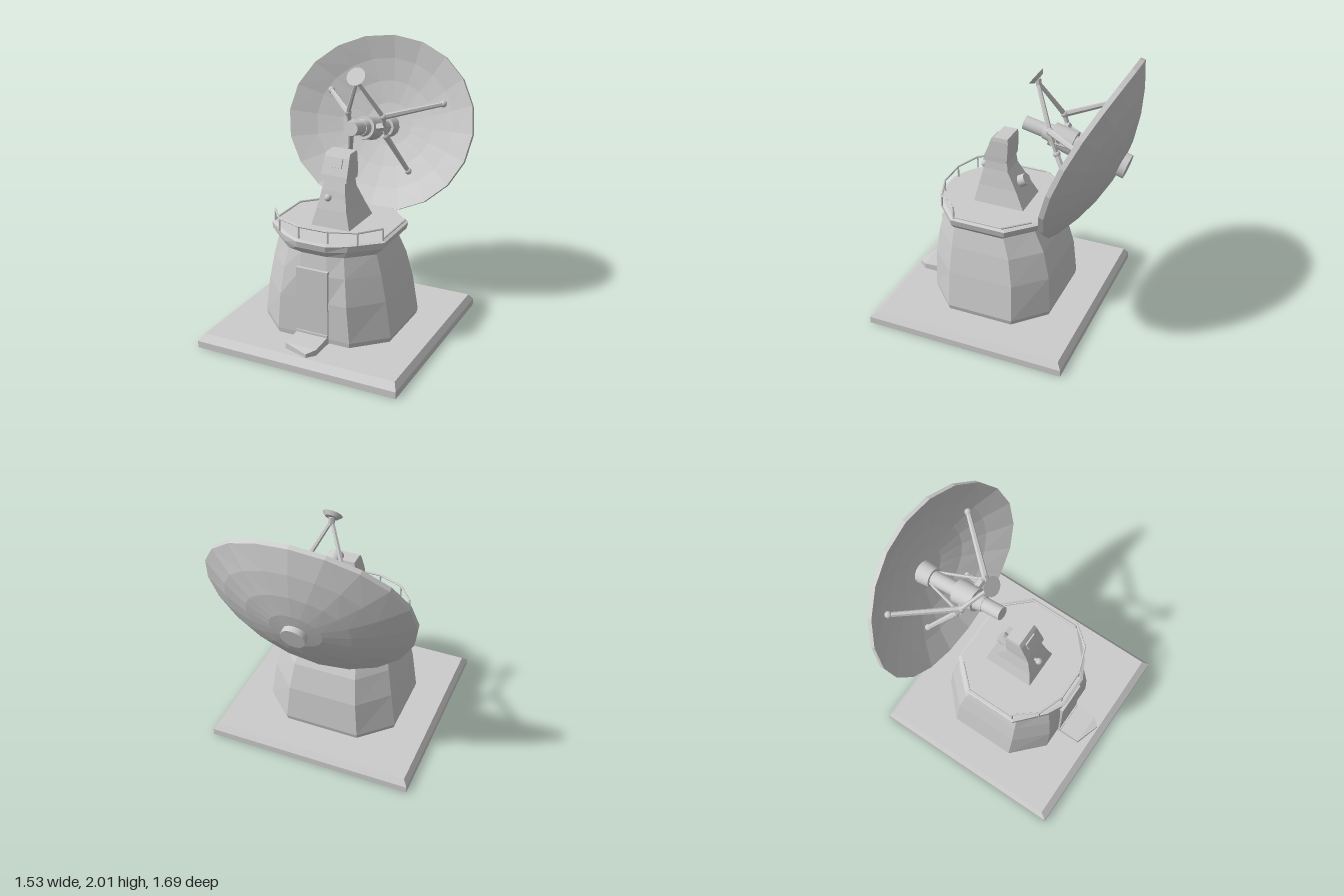
import * as THREE from 'three';

const grey = new THREE.MeshStandardMaterial({ color: 0xcccccc, side: THREE.DoubleSide });
const facet = new THREE.MeshStandardMaterial({ color: 0xcccccc, flatShading: true });
const V = (x, y, z) => new THREE.Vector3(x, y, z);

// Closed solid through rings of points, bottom to top, counter-clockwise from above
function loft(rings) {
  const pos = [];
  const tri = (...p) => p.forEach((v) => pos.push(v.x, v.y, v.z));
  const n = rings[0].length;
  for (let r = 0; r < rings.length - 1; r++) {
    for (let i = 0; i < n; i++) {
      const j = (i + 1) % n;
      tri(rings[r][i], rings[r][j], rings[r + 1][j]);
      tri(rings[r][i], rings[r + 1][j], rings[r + 1][i]);
    }
  }
  const bottom = rings[0], top = rings[rings.length - 1];
  for (let i = 1; i < n - 1; i++) {
    tri(bottom[0], bottom[i + 1], bottom[i]);
    tri(top[0], top[i], top[i + 1]);
  }
  const g = new THREE.BufferGeometry();
  g.setAttribute('position', new THREE.Float32BufferAttribute(pos, 3));
  g.computeVertexNormals();
  return g;
}

// Rectangular ring
const rect = ([y, hx, zb, zf]) => [V(-hx, y, zf), V(hx, y, zf), V(hx, y, zb), V(-hx, y, zb)];

// Eight-sided ring whose front may bow outwards
function octagon([y, hx, zb, zf, bow = 0]) {
  const f = zf - bow, cx = hx * 0.56, cz = (zf - zb) * 0.23;
  return [
    V(-hx * 0.25, y, zf), V(hx * 0.25, y, zf), V(cx, y, f), V(hx, y, f - cz + bow * 0.3),
    V(hx, y, zb + cz), V(cx, y, zb), V(-cx, y, zb), V(-hx, y, zb + cz),
    V(-hx, y, f - cz + bow * 0.3), V(-cx, y, f),
  ];
}

export function createModel() {
  const model = new THREE.Group();

  function add(name, geometry, material = facet) {
    const mesh = new THREE.Mesh(geometry, material);
    mesh.name = name;
    model.add(mesh);
    return mesh;
  }
  // Cylinder running from point a to point b
  function rod(name, a, b, ra, rb = ra, sides = 6) {
    const d = b.clone().sub(a);
    const mesh = add(name, new THREE.CylinderGeometry(rb, ra, d.length(), sides), sides > 8 ? grey : facet);
    mesh.position.copy(a).add(b).multiplyScalar(0.5);
    mesh.quaternion.setFromUnitVectors(V(0, 1, 0), d.normalize());
    return mesh;
  }
  function ball(name, p, r) {
    add(name, new THREE.SphereGeometry(r, 10, 8), grey).position.copy(p);
  }

  // Ground slab with bevelled top edge
  add('baseSlab', loft([
    [0, 0.765, -0.65, 0.84], [0.05, 0.765, -0.65, 0.84], [0.095, 0.735, -0.62, 0.79],
  ].map(rect)));

  // Tower and overhanging platform
  add('tower', loft([
    [0.09, 0.49, -0.37, 0.53], [0.13, 0.5, -0.38, 0.535], [0.4, 0.46, -0.36, 0.535],
    [0.6, 0.42, -0.31, 0.53, 0.02], [0.75, 0.38, -0.23, 0.51, 0.03],
  ].map(octagon)));
  add('platform', loft([
    [0.74, 0.38, -0.22, 0.51, 0.03], [0.79, 0.43, -0.275, 0.55, 0.06],
    [0.835, 0.44, -0.29, 0.56, 0.07], [0.845, 0.42, -0.27, 0.54, 0.07],
  ].map(octagon)));

  // Door with frame, and sloping doorstep
  add('door', new THREE.BoxGeometry(0.24, 0.5, 0.03)).position.set(0, 0.39, 0.535);
  add('doorSill', new THREE.BoxGeometry(0.24, 0.03, 0.04)).position.set(0, 0.15, 0.54);
  const step = (top) => [
    V(-0.12, top ? 0.138 : 0.08, 0.72), V(0.07, top ? 0.122 : 0.08, 0.78),
    V(0.12, top ? 0.138 : 0.08, 0.72), V(0.12, top ? 0.15 : 0.08, 0.52), V(-0.12, top ? 0.15 : 0.08, 0.52),
  ];
  add('doorstep', loft([step(false), step(true)]));

  // Guard rail at the front, low kerb rails along the sides
  const rail = [[-0.42, 0.3], [-0.3, 0.45], [-0.11, 0.52], [0.11, 0.52], [0.3, 0.45], [0.42, 0.3]];
  rail.forEach(([x, z], i) => {
    rod('railPost', V(x, 0.84, z), V(x, 0.93, z), 0.007);
    if (i) rod('railBar', V(rail[i - 1][0], 0.93, rail[i - 1][1]), V(x, 0.93, z), 0.008);
  });
  for (const s of [-1, 1]) {
    rod('sideRail', V(s * 0.42, 0.855, 0.3), V(s * 0.42, 0.855, -0.07), 0.008);
    rod('sideRail', V(s * 0.42, 0.855, -0.07), V(s * 0.27, 0.855, -0.23), 0.008);
  }

  // Pedestal and head
  add('pedestal', loft([
    [0.84, 0.15, -0.115, 0.27], [0.97, 0.115, -0.045, 0.245], [1.05, 0.1, 0, 0.225],
    [1.1, 0.09, 0.03, 0.215], [1.19, 0.08, 0.04, 0.19],
  ].map(rect)));
  add('pedestalHead', loft([
    [1.17, 0.1, 0.035, 0.215], [1.21, 0.1, 0.03, 0.205], [1.33, 0.095, 0.025, 0.155], [1.36, 0.09, 0.03, 0.135],
  ].map(rect)));
  const panel = add('headPanel', new THREE.BoxGeometry(0.1, 0.065, 0.02));
  panel.position.set(0, 1.295, 0.172);
  panel.rotation.x = -0.4;
  rod('driveMotor', V(0, 0.96, 0.03), V(0, 1.025, -0.08), 0.045, 0.045, 12);
  rod('lampStem', V(-0.02, 1.06, 0.21), V(-0.02, 1.065, 0.26), 0.012);
  ball('lamp', V(-0.02, 1.065, 0.258), 0.026);

  // Dish: unit profile out along the inside and back along the outside, bent into an elliptical bowl
  const steps = [0, 0.25, 0.5, 0.75, 1];
  const profile = [
    ...steps.map((t) => new THREE.Vector2(t, -0.005)),
    ...steps.map((t) => new THREE.Vector2(t, 0.03)).reverse(),
  ];
  const bowl = new THREE.LatheGeometry(profile, 20);
  const p = bowl.attributes.position;
  for (let i = 0; i < p.count; i++) {
    const u = p.getX(i), v = p.getZ(i);
    p.setXYZ(i, u * 0.745, p.getY(i) + 0.25 * u * u + 0.17 * v * v, v * 0.66);
  }
  bowl.computeVertexNormals();
  const dishMaterial = grey.clone();
  dishMaterial.flatShading = true;
  const dish = add('dish', bowl, dishMaterial);
  dish.position.set(0, 1.32, -0.776);
  dish.rotation.x = 1.24;

  // Rear hub and feed assembly along the dish axis
  rod('rearHub', V(0, 1.29, -0.815), V(0, 1.315, -0.73), 0.087, 0.087, 16);
  rod('feedFlange', V(0, 1.315, -0.74), V(0, 1.335, -0.64), 0.085, 0.075, 16);
  rod('feedNeck', V(0, 1.33, -0.66), V(0, 1.39, -0.42), 0.055, 0.055, 16);
  rod('feedBody', V(0, 1.385, -0.43), V(0, 1.43, -0.27), 0.09, 0.085, 16);
  rod('feedCollar', V(0, 1.43, -0.27), V(0, 1.442, -0.21), 0.065, 0.055, 16);
  rod('feedNose', V(0, 1.44, -0.22), V(0, 1.475, -0.065), 0.05, 0.05, 16);

  // Small reflector in front
  rod('subReflector', V(0, 1.822, -0.16), V(0, 1.837, -0.14), 0.045, 0.07, 16);
  rod('subReflectorStem', V(0, 1.77, -0.165), V(0, 1.825, -0.157), 0.022);

  // Mirrored support struts
  for (const s of [-1, 1]) {
    const upper = V(s * 0.14, 1.52, -0.3), lower = V(s * 0.14, 1.36, -0.355);
    const dishUpper = V(s * 0.46, 1.565, -0.665), dishLower = V(s * 0.245, 1.05, -0.54);
    rod('reflectorLeg', V(s * 0.01, 1.78, -0.165), upper, 0.014, 0.018);
    rod('sideLink', upper, lower, 0.018);
    rod('upperArm', upper, dishUpper, 0.022, 0.017);
    rod('lowerArm', lower, dishLower, 0.022, 0.017);
    rod('bracket', V(s * 0.06, 1.42, -0.33), V(s * 0.145, 1.44, -0.328), 0.03);
    rod('brace', V(s * 0.05, 1.34, -0.64), V(s * 0.145, 1.44, -0.33), 0.01);
    for (const j of [upper, lower, dishUpper, dishLower]) ball('joint', j, 0.026);
  }
  return model;
}
